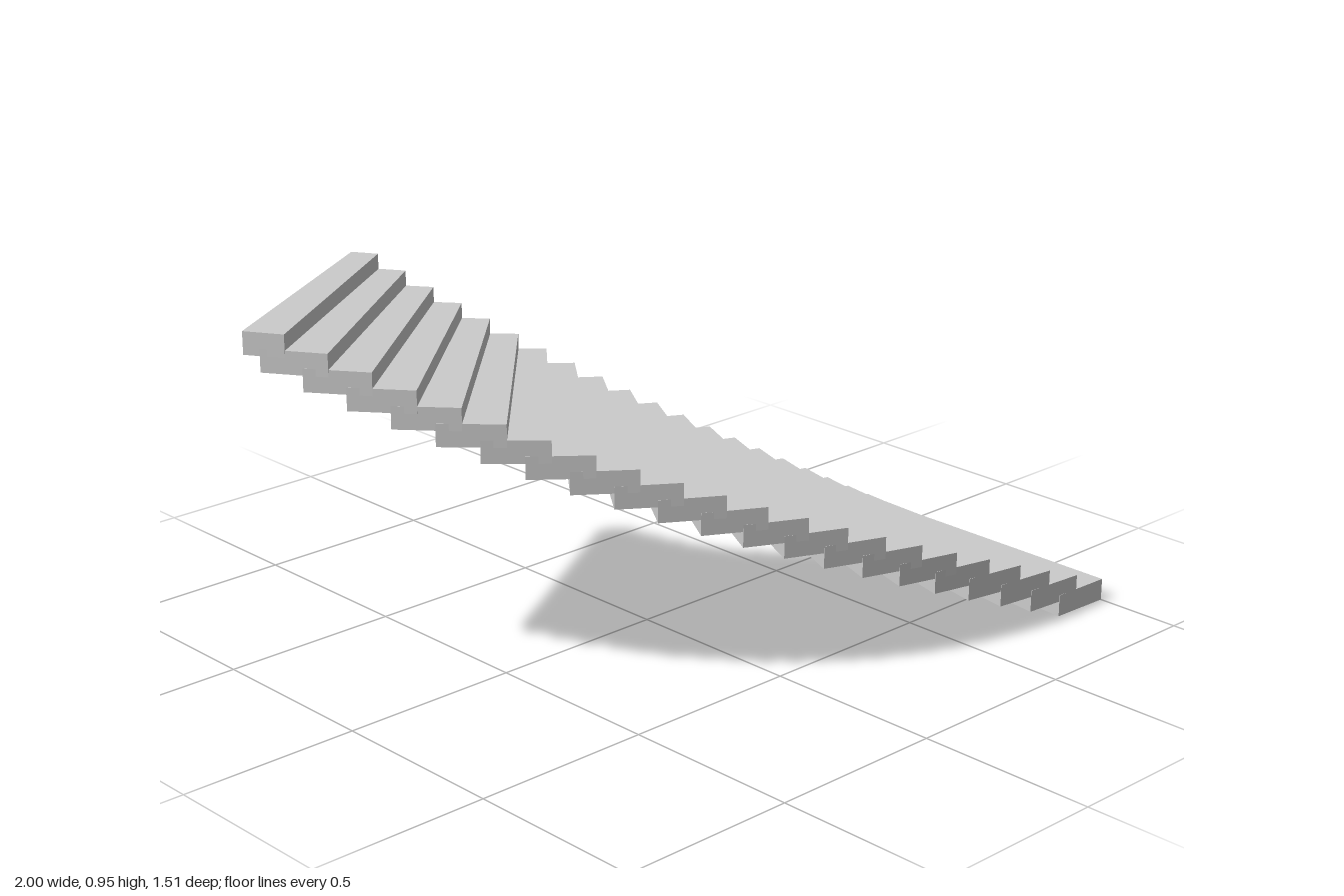
import * as THREE from 'three';

const STEPS = 22;
const SWEEP = THREE.MathUtils.degToRad(59.25);
const PITCH = SWEEP / STEPS;
const OVERLAP = 0.6 * PITCH; // how far each step runs under the next one
const INNER = 1.602, OUTER = 2.327;
const CENTRE_X = 1, CENTRE_Z = -1.573;
const THICKNESS = 0.061;
const RISE = (0.946 - THICKNESS) / (STEPS - 1);

// Plan position on the arc; the shape's y is -z so it lies flat after rotation
const planPoint = (radius, angle) => new THREE.Vector2(
  CENTRE_X - radius * Math.sin(angle),
  -(CENTRE_Z + radius * Math.cos(angle)),
);

// One wedge-shaped slab between two angles, resting on y = 0
function stepGeometry(start, end) {
  const shape = new THREE.Shape([
    planPoint(INNER, start), planPoint(INNER, end),
    planPoint(OUTER, end), planPoint(OUTER, start),
  ]);
  return new THREE.ExtrudeGeometry(shape, { depth: THICKNESS, bevelEnabled: false })
    .rotateX(-Math.PI / 2);
}

export function createModel() {
  const staircase = new THREE.Group();
  staircase.name = 'curvedStaircase';
  const material = new THREE.MeshStandardMaterial({ color: 0xcccccc, flatShading: true });

  // Overlapping steps climbing around the arc; the top one stops at the landing edge
  for (let i = 0; i < STEPS; i++) {
    const start = i * PITCH;
    const end = Math.min(start + PITCH + OVERLAP, SWEEP);
    const step = new THREE.Mesh(stepGeometry(start, end), material);
    step.name = `step${i + 1}`;
    step.position.y = i * RISE;
    staircase.add(step);
  }
  return staircase;
}
